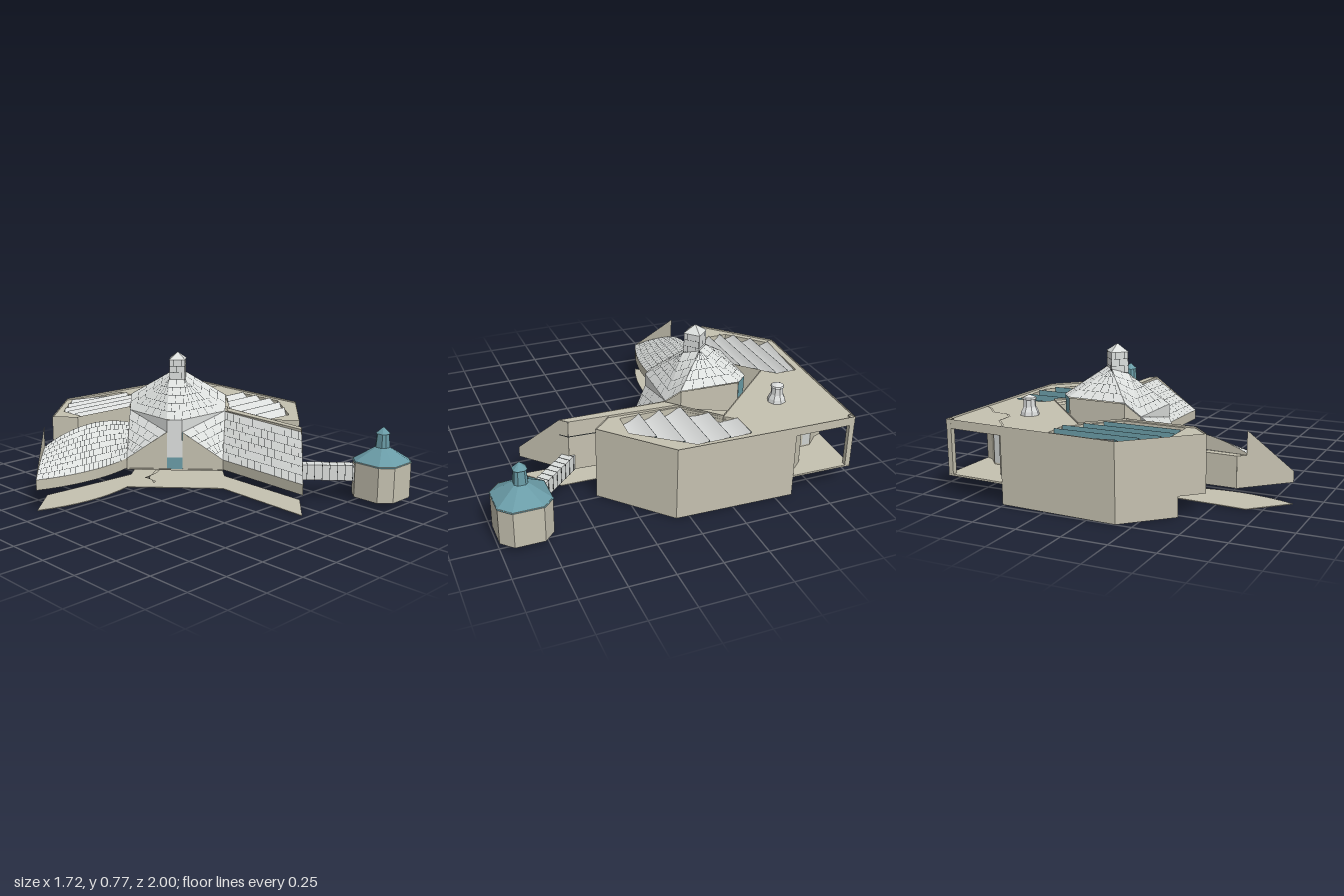
import * as THREE from 'three';

const mat = (name, color) => {
  const m = new THREE.MeshStandardMaterial({ color, side: THREE.DoubleSide });
  m.name = name;
  return m;
};

// The plan is symmetric about a slanted axis through the central tower:
// a runs sideways, b runs forward along that axis.
const W = (a, b) => [0.17 + 0.68 * a - 0.735 * b, -0.31 + 0.735 * a + 0.68 * b];
const P = (a, b, y) => { const [x, z] = W(a, b); return new THREE.Vector3(x, y, z); };
const mix = (p, q, t) => p.clone().lerp(q, t);

export function createModel() {
  const root = new THREE.Group();
  const stone = mat('warm stone', 0xc5c1b0);
  const tile = mat('pale tile', 0xdcdfdd);
  const joint = mat('dark joint', 0x26292a);
  const teal = mat('teal', 0x6a9ca7);
  const shell = mat('skylight shell', 0xdcdedd);
  const glass = mat('pale glass', 0xcdd1cf);

  const add = (name, geo, m, flat = true) => {
    let g = geo;
    if (flat) { g = geo.index ? geo.toNonIndexed() : geo; g.computeVertexNormals(); }
    const mesh = new THREE.Mesh(g, m);
    mesh.name = name;
    root.add(mesh);
  };
  // Surface from a rule f(u, v)
  const surf = (name, f, nu, nv, m, flat = true) => {
    const g = new THREE.PlaneGeometry(1, 1, nu, nv);
    const pos = g.attributes.position;
    for (let i = 0; i < pos.count; i++) {
      const p = f(pos.getX(i) + 0.5, pos.getY(i) + 0.5);
      pos.setXYZ(i, p.x, p.y, p.z);
    }
    g.computeVertexNormals();
    add(name, g, m, flat);
  };
  const bilinear = (p00, p10, p11, p01) => (u, v) => mix(mix(p00, p10, u), mix(p01, p11, u), v);
  const quad = (name, p, m) => surf(name, bilinear(...p), 1, 1, m);
  const wall = (name, [a0, b0], [a1, b1], y0, y1, m = stone) =>
    quad(name, [P(a0, b0, y0), P(a1, b1, y0), P(a1, b1, y1), P(a0, b0, y1)], m);
  // Flat slab from world x, z points
  const slab = (name, pts, y, h, m, holes = []) => {
    const v = (q) => q.map(([x, z]) => new THREE.Vector2(x, -z));
    const s = new THREE.Shape(v(pts));
    holes.forEach((q) => s.holes.push(new THREE.Path(v(q))));
    const g = new THREE.ExtrudeGeometry(s, { depth: h, bevelEnabled: false });
    add(name, g.rotateX(-Math.PI / 2).translate(0, y, 0), m);
  };
  // Tiled surface with thin staggered joints just above it
  const tiled = (name, f, rows, cols, smooth = false) => {
    surf(name, f, smooth ? 16 : 4, 4, tile, !smooth);
    const pos = [];
    const strip = (u0, v0, u1, v1) => {
      const p = f(u0, v0), q = f(u1, v1), e = 0.02;
      const n = f(u0 + e, v0).sub(f(u0 - e, v0)).cross(f(u0, v0 + e).sub(f(u0, v0 - e)));
      if (n.lengthSq() < 1e-14) return;
      n.normalize();
      if (n.y < 0) n.negate();
      const side = q.clone().sub(p).cross(n).normalize().multiplyScalar(0.001);
      n.multiplyScalar(0.002);
      const c = [p.clone().add(side), q.clone().add(side), q.clone().sub(side), p.clone().sub(side)];
      [0, 1, 2, 0, 2, 3].forEach((i) => { const w = c[i].clone().add(n); pos.push(w.x, w.y, w.z); });
    };
    for (let r = 0; r < rows; r++) {
      for (let c = 0; c < cols; c++) {
        if (r) strip(c / cols, r / rows, (c + 1) / cols, r / rows);
        const u = (c + (r % 2 ? 0.5 : 0.95)) / cols;
        if (u < 0.98) strip(u, r / rows, u, (r + 1) / rows);
      }
    }
    const g = new THREE.BufferGeometry();
    g.setAttribute('position', new THREE.Float32BufferAttribute(pos, 3));
    add(name + 'Joints', g, joint);
  };
  // Stack of rings with equal point counts, [y, points]
  const loft = (name, rings, m) => {
    for (let i = 0; i + 1 < rings.length; i++) {
      const [y0, r0] = rings[i], [y1, r1] = rings[i + 1];
      const n = r0.length;
      const at = (r, k, y) => new THREE.Vector3(r[k % n][0], y, r[k % n][1]);
      for (let k = 0; k < n; k++) quad(name, [at(r0, k, y0), at(r0, k + 1, y0), at(r1, k + 1, y1), at(r1, k, y1)], m);
    }
  };

  // Main building: deck, floor and walls
  const outline = [[0.728, 0.248], [0.728, -0.225], [0, -0.938], [-0.728, -0.225], [-0.728, 0.248], [-0.577, 0.247],
    [-0.3, -0.04], [-0.3, -0.3], [0.3, -0.3], [0.3, -0.04], [0.577, 0.247]].map((p) => W(...p));
  const lights = [
    [[0.41, -0.1], [0.64, -0.355], [0.8, -0.355], [0.8, -0.05], [0.57, 0.24], [0.41, 0.23]],
    [[-0.355, -0.58], [-0.355, -0.77], [-0.15, -0.96], [0.24, -0.94], [0.24, -0.81], [0, -0.575]],
  ];
  slab('roofDeck', outline, 0.395, 0.015, stone, lights);
  slab('buildingFloor', outline, 0.11, 0.01, stone);
  const porch = [[0.25, -0.696], [0.2, -0.678], [0.1, -0.68], [0.03, -0.616], [-0.03, -0.616], [-0.1, -0.68], [-0.2, -0.678], [-0.25, -0.696]];
  for (const s of [1, -1]) {
    wall('innerWall', [0.3 * s, -0.04], [0.577 * s, 0.247], 0.12, 0.42);
    wall('endWall', [0.577 * s, 0.247], [0.728 * s, 0.248], 0.12, 0.42);
    wall('sideWallFront', [0.728 * s, 0.248], [0.728 * s, 0.1], s > 0 ? 0 : 0.12, 0.42);
    wall('sideWall', [0.728 * s, 0.1], [0.728 * s, -0.225], 0, 0.42);
    wall('backWall', [0.728 * s, -0.225], [0.25 * s, -0.696], 0, 0.42);
    wall('porchBeam', [0.25 * s, -0.696], [0, -0.938], 0.37, 0.42);
    wall('courtyardSide', [0.3 * s, -0.04], [0.3 * s, -0.3], 0.12, 0.42);
    wall('porchSideWindow', [0.06 * s, -0.647], [0.095 * s, -0.679], 0.13, 0.34, glass);
    wall('porchColumn', [0.022 * s, -0.917], [0, -0.937], 0.11, 0.42);
    wall('porchColumn', [0.022 * s, -0.917], [0, -0.897], 0.11, 0.42);
  }
  wall('porchCentreWindow', [-0.027, -0.619], [0.027, -0.619], 0.13, 0.34, glass);
  wall('courtyardBack', [-0.3, -0.3], [0.3, -0.3], 0.12, 0.42);
  for (let i = 0; i + 1 < porch.length; i++) {
    const [p, q] = [porch[i], porch[i + 1]];
    wall('porchWall', p, q, 0.12, 0.4);
    quad('porchRoofSeam', [P(p[0], p[1], 0.413), P(q[0], q[1], 0.413), P(q[0], q[1] + 0.012, 0.413), P(p[0], p[1] + 0.012, 0.413)], stone);
  }

  // Sawtooth skylights set into the deck
  const span = (poly, z) => {
    const xs = [];
    poly.forEach(([x0, z0], i) => {
      const [x1, z1] = poly[(i + 1) % poly.length];
      if ((z - z0) * (z - z1) <= 0 && z0 !== z1) xs.push(x0 + (x1 - x0) * (z - z0) / (z1 - z0));
    });
    return [Math.min(...xs), Math.max(...xs)];
  };
  for (const poly of lights) {
    const zs = poly.map((p) => p[1]);
    const lo = Math.min(...zs) + 0.0005, step = (Math.max(...zs) - 0.0005 - lo) / 5;
    loft('skylightCurb', [[0.355, poly], [0.41, poly]], stone);
    for (let i = 0; i < 5; i++) {
      const z0 = lo + i * step;
      const at = (t, u, y) => { const z = z0 + t * step * 0.999, [l, r] = span(poly, z); return new THREE.Vector3(l + (r - l) * u, y, z); };
      surf('skylightShell', (u, t) => at(t, u, 0.365 + 0.053 * (1 - t) ** 2), 1, 8, shell, false);
      surf('skylightGlass', (u, v) => at(0, u, 0.365 + 0.053 * v).add(new THREE.Vector3(0, 0, -0.001)), 1, 1, teal);
    }
  }

  // Roof vent
  const vent = [[0.052, 0.41], [0.048, 0.43], [0.035, 0.455], [0.032, 0.495], [0.039, 0.497], [0.035, 0.507], [0, 0.522]];
  add('roofVent', new THREE.LatheGeometry(vent.map((p) => new THREE.Vector2(...p)), 8).translate(0.53, 0, -0.65), shell);

  // Central tower: four roof faces separated by ridge bands, flaring down at the front corners
  const band = (name, p) => tiled(name, bilinear(...p), 5, 2);
  for (const s of [1, -1]) {
    const low = P(0.285 * s, 0.285, 0.18), side = P(0.29 * s, 0.045, 0.42), sideBack = P(0.29 * s, -0.045, 0.5);
    const front = P(0.045 * s, 0.285, 0.42), frontLow = P(0.045 * s, 0.285, 0.345), back = P(0.045 * s, -0.29, 0.5);
    const f = P(0.048 * s, 0.048, 0.61), r = P(0.048 * s, -0.048, 0.64);
    tiled('towerFrontRoof', bilinear(front, side, f, f), 5, 5);
    tiled('towerLowerRoof', bilinear(low, low, side, frontLow), 5, 4);
    quad('towerRoofStep', [frontLow, side, side, front], tile);
    tiled('towerBackRoof', bilinear(sideBack, back, r, r), 4, 5);
    band('towerSideRidge', [side, sideBack, r, f]);
    quad('towerFrontWall', [P(0.045 * s, 0.28, 0.12), P(0.285 * s, 0.28, 0.12), P(0.285 * s, 0.28, 0.18), P(0.045 * s, 0.28, 0.343)], stone);
    wall('towerBackWall', [0.285 * s, -0.045], [0.045 * s, -0.285], 0.12, 0.495);
    quad('towerSideWall', [P(0.285 * s, -0.045, 0.12), P(0.285 * s, 0.045, 0.12), P(0.285 * s, 0.045, 0.415), P(0.285 * s, -0.045, 0.495)], stone);
  }
  band('towerFrontRidge', [P(-0.045, 0.285, 0.42), P(0.045, 0.285, 0.42), P(0.048, 0.048, 0.61), P(-0.048, 0.048, 0.61)]);
  band('towerBackRidge', [P(-0.045, -0.29, 0.5), P(0.045, -0.29, 0.5), P(0.048, -0.048, 0.64), P(-0.048, -0.048, 0.64)]);
  tiled('entryPanel', bilinear(P(0.045, 0.286, 0.19), P(-0.045, 0.286, 0.19), P(-0.045, 0.286, 0.42), P(0.045, 0.286, 0.42)), 5, 2);
  wall('entryDoor', [-0.045, 0.284], [0.045, 0.284], 0.12, 0.19, teal);
  wall('towerBackWindow', [-0.045, -0.286], [0.045, -0.286], 0.12, 0.495, teal);
  slab('towerFloor', [[0.285, 0.285], [0.3, -0.04], [0.3, -0.3], [-0.16, -0.3], [-0.16, -0.256], [-0.28, -0.124], [-0.285, 0.285]]
    .map((p) => W(...p)), 0.111, 0.008, stone);
  const square = (h) => [[h, h], [h, -h], [-h, -h], [-h, h]].map((p) => W(...p));
  const cs = [[1, 1], [1, -1], [-1, -1], [-1, 1]];
  cs.forEach(([a, b], i) => {
    const [c, d] = cs[(i + 1) % 4], h = 0.047;
    tiled('chimney', bilinear(P(a * h, b * h, 0.58), P(c * h, d * h, 0.58), P(c * h, d * h, 0.73), P(a * h, b * h, 0.73)), 4, 2);
  });
  loft('chimneyCap', [[0.73, square(0.049)], [0.772, square(0.002)]], tile);

  // Two tiled wings: the one at -x is vaulted, the other plain behind a taller wall
  for (const s of [1, -1]) {
    const vaulted = s < 0;
    const top = vaulted ? 0.29 : 0.42;
    const eave = (u, y) => {
      const p = mix(P(0.285 * s, 0.285, y), P(0.73 * s, 0.73, y), u);
      p.z += vaulted ? 0.055 * 4 * u * (1 - u) : 0;
      return p;
    };
    const ridge = (u) => mix(P(0.29 * s, 0.045, 0), P(0.73 * s, 0.465, 0), u)
      .setY(vaulted ? 0.34 + 0.2 * u - 0.24 * u * u : 0.415 - 0.01 * u);
    tiled('wingRoof', (u, v) => {
      const p = mix(eave(u, 0.18), ridge(u), v);
      p.y += vaulted ? 0.05 * v * (1 - v) : 0;
      return p;
    }, vaulted ? 8 : 6, vaulted ? 20 : 12, vaulted);
    surf('wingFascia', (u, v) => eave(u, 0.12 + 0.06 * v), 12, 1, stone);
    surf('wingFloor', (u, v) => mix(eave(u, 0.12), mix(P(0.3 * s, -0.04, 0.12), P(0.73 * s, 0.411, 0.12), u), v), 12, 1, stone);
    quad('wingWallTop', [P(0.3 * s, -0.035, top), P(0.73 * s, 0.411, top), P(0.73 * s, 0.465, top), P(0.3 * s, 0.045, top)], stone);
    surf('wingUpperWall', (u, v) => { const p = ridge(u); p.y = top + (p.y - top) * v; return p; }, 12, 1, stone);
    wall('wingBackWall', [0.3 * s, -0.035], [0.73 * s, 0.411], 0.12, top);
    quad('wingEndWall', [P(0.731 * s, 0.73, 0.12), P(0.731 * s, 0.465, 0.12), P(0.731 * s, 0.465, 0.42), P(0.731 * s, 0.73, 0.18)], stone);
    wall('wingEndReturn', [0.731 * s, 0.465], [0.731 * s, 0.411], 0.12, top);
  }
  // Thin slot along the taller wing wall
  wall('wingWallSlot', [0.585, 0.256], [0.733, 0.41], 0.327, 0.333, joint);
  wall('wingWallSlot', [0.733, 0.41], [0.733, 0.465], 0.327, 0.333, joint);

  // Ground terrace below the wings
  const curve = [];
  for (let i = 0; i <= 8; i++) {
    const t = i / 8, k = 0.285 + 0.445 * t, [x, z] = W(-k, k);
    curve.push([x, z + 0.22 * t * (1 - t)]);
  }
  slab('groundTerrace', [...curve, W(-0.73, 0.465), W(-0.29, 0.04), W(-0.28, -0.12), W(-0.15, -0.26), W(0.25, -0.27),
    W(0.29, 0.04), W(0.73, 0.465), W(0.73, 0.73), W(0.285, 0.285)], 0, 0.004, stone);

  // Curved ramp beneath the entry
  surf('entryRamp', (u, v) => {
    const t = 0.8 + 5 * u, r = 0.018 + 0.03 * v;
    return new THREE.Vector3(-0.095 + r * Math.cos(t), 0.11 - 0.1 * u, -0.25 + r * Math.sin(t));
  }, 14, 1, stone);

  // Detached corner tower
  const oct = (h, c) => [[h, c], [c, h], [-c, h], [-h, c], [-h, -c], [-c, -h], [c, -h], [h, -c]].map(([x, z]) => [0.668 + x, 0.853 + z]);
  loft('cornerTowerBody', [[0.03, oct(0.143, 0.08)], [0.24, oct(0.143, 0.08)]], stone);
  slab('cornerTowerBase', oct(0.143, 0.08), 0.03, 0.01, stone);
  loft('cornerTowerRoof', [[0.235, oct(0.146, 0.084)], [0.315, oct(0.036, 0.02)], [0.395, oct(0.03, 0.017)],
    [0.395, oct(0.036, 0.02)], [0.432, oct(0.001, 0.0005)]], teal);

  // Covered bridge with thin battens
  const bridge = new THREE.Group();
  bridge.name = 'bridge';
  bridge.add(new THREE.Mesh(new THREE.BoxGeometry(0.068, 0.09, 0.33), tile));
  for (let i = 0; i < 8; i++) {
    const batten = new THREE.Mesh(new THREE.BoxGeometry(0.071, 0.092, 0.003), joint);
    batten.position.z = -0.15 + i * 0.043;
    bridge.add(batten);
  }
  bridge.position.set(0.455, 0.165, 0.62);
  bridge.rotation.y = Math.atan2(0.2, 0.22);
  root.add(bridge);
  return root;
}
